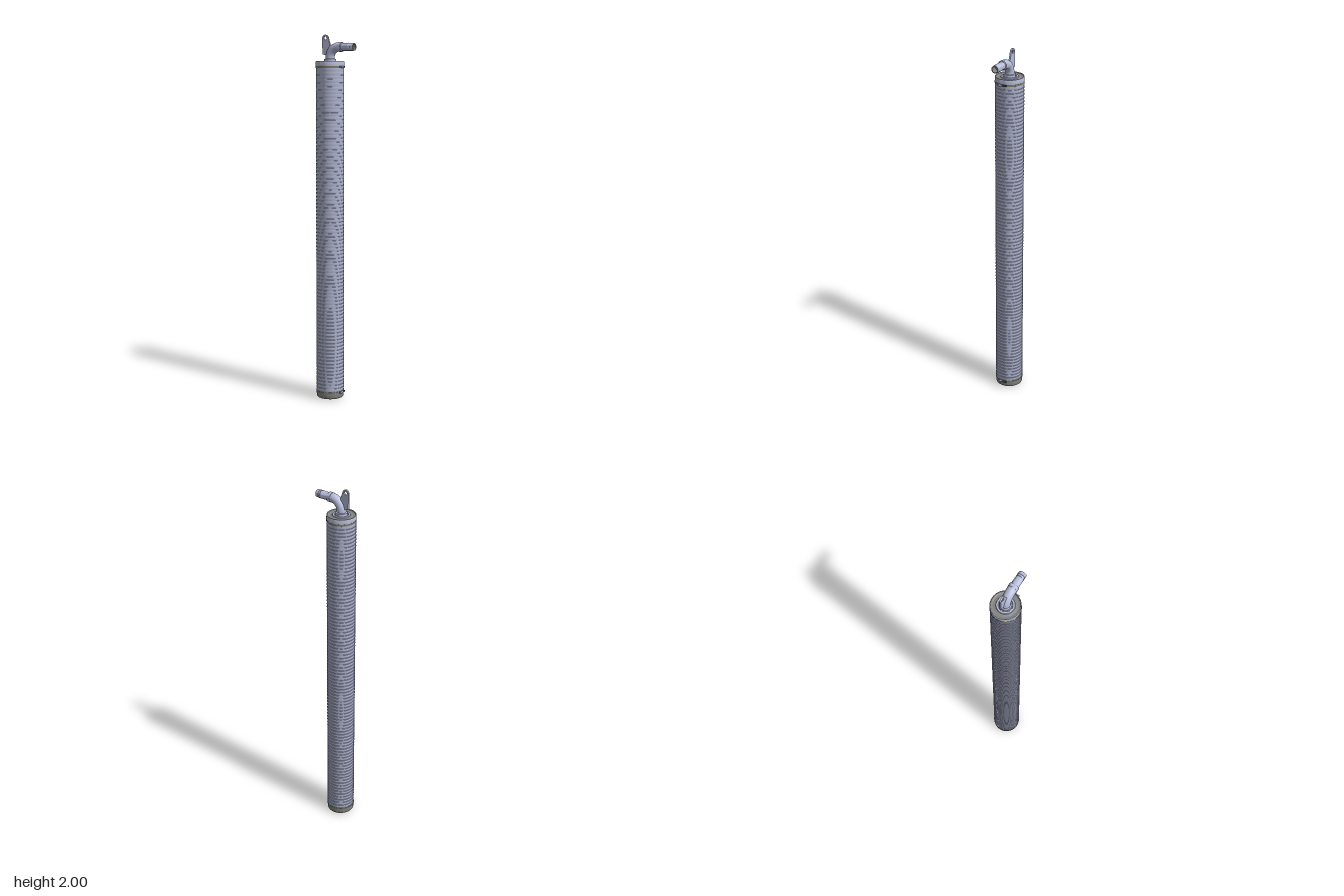
import * as THREE from 'three';
import { mergeGeometries, toCreasedNormals } from 'three/addons/utils/BufferGeometryUtils.js';

const mat = (name, color) => new THREE.MeshStandardMaterial({ name, color });
const AXIS = -0.038; // x of the column's centre line

export function createModel() {
  const group = new THREE.Group();
  const lavender = mat('lavender', 0xb9bedb);
  const grey = mat('neutral grey', 0x858583);
  const stone = mat('pale stone', 0xa8a69a);
  const pale = mat('pale grey', 0xd2d2d0);
  const olive = mat('olive band', 0x7c7b66);
  const dark = mat('dark steel', 0x4a4a48);

  const add = (name, geometry, material, x = AXIS, y = 0, z = 0) => {
    const mesh = new THREE.Mesh(geometry, material);
    mesh.name = name;
    mesh.position.set(x, y, z);
    group.add(mesh);
    return mesh;
  };
  const lathe = (pts, seg = 48) =>
    toCreasedNormals(new THREE.LatheGeometry(pts.map(([r, y]) => new THREE.Vector2(r, y)), seg), 0.6);

  // ribbed sleeve: each rib flares gently upward and ends in a narrow ledge
  const ribs = 90, bottom = 0.048, pitch = (1.826 - bottom) / ribs;
  const rib = lathe([[0.0738, 0], [0.0752, 0.3], [0.0762, 0.65], [0.0765, 0.97], [0.0738, 1]]
    .map(([r, t]) => [r, t * pitch]));
  add('sleeveRibs', mergeGeometries(Array.from({ length: ribs },
    (_, i) => rib.clone().translate(0, bottom + i * pitch, 0))), lavender);

  // bottom cap with pale underside, hub and drain slots
  add('bottomCap', lathe([[0.068, 0.007], [0.072, 0.009], [0.0745, 0.013], [0.0755, 0.018],
    [0.0755, 0.036], [0.073, 0.038]]), grey);
  add('bottomUnderside', lathe([[0, 0.007], [0.068, 0.007]]), stone);
  add('bottomCollar', lathe([[0.073, 0.036], [0.0755, 0.036], [0.0755, 0.048], [0.0738, 0.048]]), lavender);
  add('bottomHub', lathe([[0, 0], [0.028, 0], [0.031, 0.002], [0.031, 0.007]]), pale);
  for (let i = 0; i < 4; i++) {
    const a = (i + 0.5) * Math.PI / 2;
    add('drainSlot', new THREE.CylinderGeometry(0.006, 0.006, 0.003, 12), dark,
      AXIS + 0.05 * Math.cos(a), 0.007, 0.05 * Math.sin(a));
  }

  // top cap: thin rim, shallow grey channel and inner collar
  add('topRim', lathe([[0.0738, 1.826], [0.0755, 1.826], [0.0765, 1.83], [0.0765, 1.857], [0.0755, 1.861],
    [0.073, 1.861], [0.072, 1.857]]), lavender);
  add('topChannel', lathe(Array.from({ length: 13 }, (_, i) => {
    const t = i / 12;
    return [0.072 - 0.025 * t, 1.857 - 0.004 * Math.sin(Math.PI * t)];
  })), grey);
  add('topCollar', lathe([[0.047, 1.857], [0.045, 1.861], [0.036, 1.861], [0.034, 1.857], [0.031, 1.857],
    [0.031, 1.872], [0.024, 1.874]]), lavender);

  // clamp bands with a small screw housing on the hose side
  for (const y of [0.042, 1.831]) {
    add('clampBand', lathe([[0.073, -0.005], [0.0772, -0.005], [0.0772, 0.005], [0.073, 0.005]]), olive, AXIS, y);
    add('clampHousing', new THREE.BoxGeometry(0.008, 0.009, 0.044), dark, AXIS + 0.078, y);
    const screw = add('clampScrew', new THREE.CylinderGeometry(0.005, 0.005, 0.024, 12), lavender, AXIS + 0.083, y, 0.012);
    screw.rotation.x = Math.PI / 2;
  }

  // elbow spout
  const path = new THREE.CurvePath();
  const v = (x, y) => new THREE.Vector3(x, y, 0);
  path.add(new THREE.LineCurve3(v(AXIS, 1.855), v(AXIS, 1.878)));
  path.add(new THREE.CubicBezierCurve3(v(AXIS, 1.878), v(AXIS, 1.91), v(-0.012, 1.936), v(0.022, 1.936)));
  add('elbow', new THREE.TubeGeometry(path, 24, 0.0245, 32), lavender, 0);

  // hose tail with collar and soft barbs, and a grey bore
  const tail = lathe([[0, 0], [0.026, 0], [0.026, 0.019], [0.021, 0.021], [0.021, 0.056],
    [0.0215, 0.057], [0.0202, 0.067], [0.0215, 0.068], [0.0202, 0.078], [0.0215, 0.079],
    [0.0202, 0.091], [0.0198, 0.095], [0.0155, 0.095]], 32);
  const bore = lathe([[0.0155, 0.095], [0.0155, 0.06], [0, 0.06]], 32);
  add('hoseTail', tail, lavender, 0.02, 1.936).rotation.z = -Math.PI / 2;
  add('hoseBore', bore, grey, 0.02, 1.936).rotation.z = -Math.PI / 2;

  // hanging tab with eyelet
  const tab = new THREE.Shape();
  tab.moveTo(-0.084, 1.897);
  tab.lineTo(-0.035, 1.885);
  tab.lineTo(-0.02, 1.925);
  tab.lineTo(-0.032, 1.936);
  tab.lineTo(-0.0485, 1.987);
  tab.absarc(-0.0665, 1.982, 0.018, 0.25, Math.PI, false);
  const eye = new THREE.Path();
  eye.absarc(-0.0665, 1.982, 0.009, 0, Math.PI * 2, true);
  tab.holes.push(eye);
  const plate = new THREE.ExtrudeGeometry(tab, { depth: 0.009, bevelEnabled: false, curveSegments: 16 });
  add('hangingTab', plate, lavender, 0, 0, -0.0045);

  return group;
}
